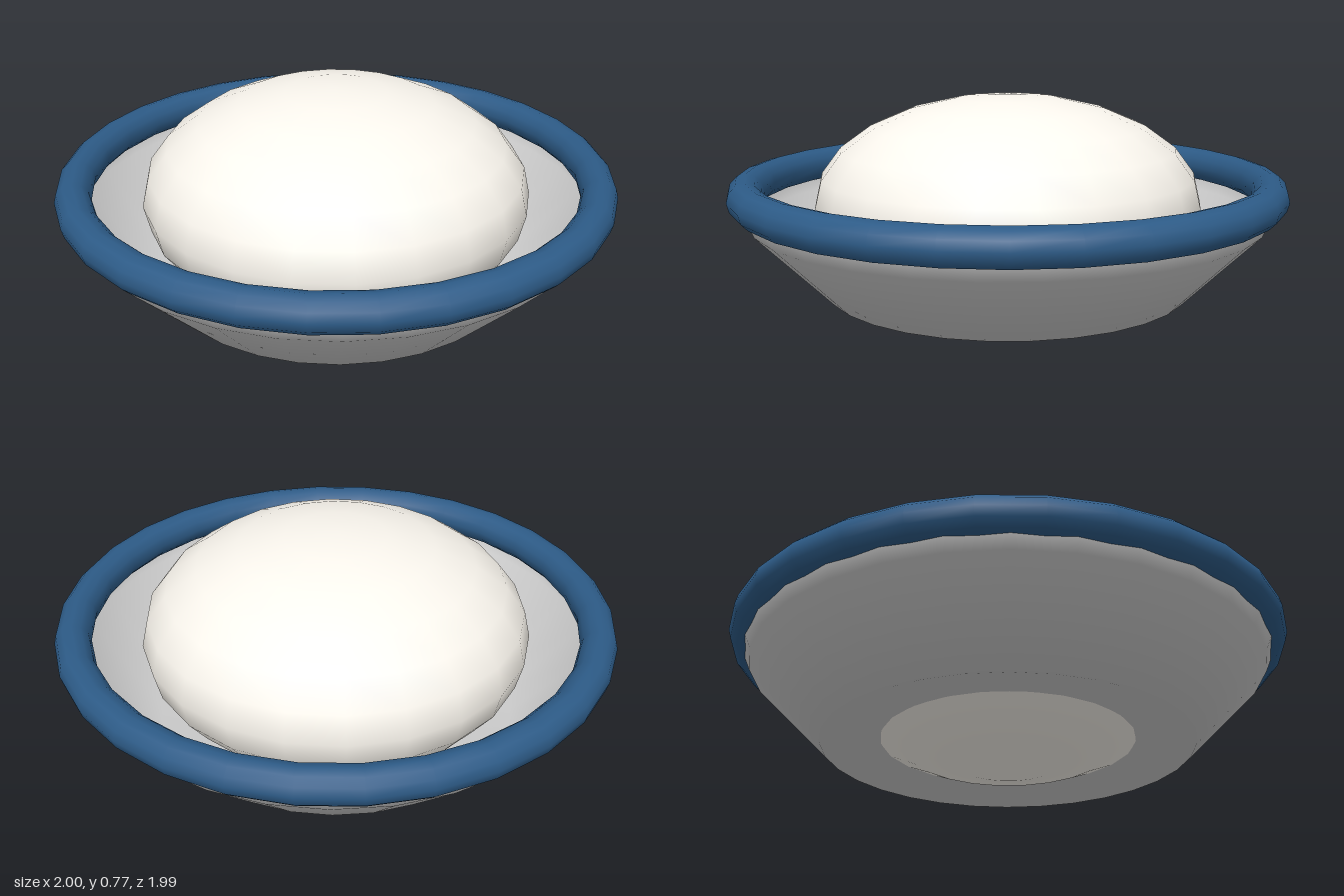
import * as THREE from 'three';

function addPart(group, name, geometry, color) {
  const mesh = new THREE.Mesh(geometry, new THREE.MeshStandardMaterial({ color }));
  mesh.name = name;
  group.add(mesh);
  return mesh;
}

export function createModel() {
  const group = new THREE.Group();
  group.name = 'filledBowl';

  // Thin bowl: slightly hollow base, sloping wall, steeper lip under the rim
  const profile = [
    [0, 0.16], [0.66, 0.065], [0.925, 0.33], [0.955, 0.4], [0.95, 0.44],
  ].map(([x, y]) => new THREE.Vector2(x, y));
  const bowl = addPart(group, 'bowl', new THREE.LatheGeometry(profile, 30), 0xf4f5f6);
  bowl.material.side = THREE.DoubleSide;

  // Round rim ring
  const rim = addPart(group, 'rim', new THREE.TorusGeometry(0.936, 0.064, 12, 30), 0x2d5b87);
  rim.rotation.x = Math.PI / 2;
  rim.position.y = 0.434;

  // Flattened mound filling the bowl
  const mound = addPart(group, 'mound', new THREE.SphereGeometry(1, 22, 12), 0xfaf6ee);
  mound.scale.set(0.7, 0.386, 0.7);
  mound.position.y = 0.386;

  return group;
}
